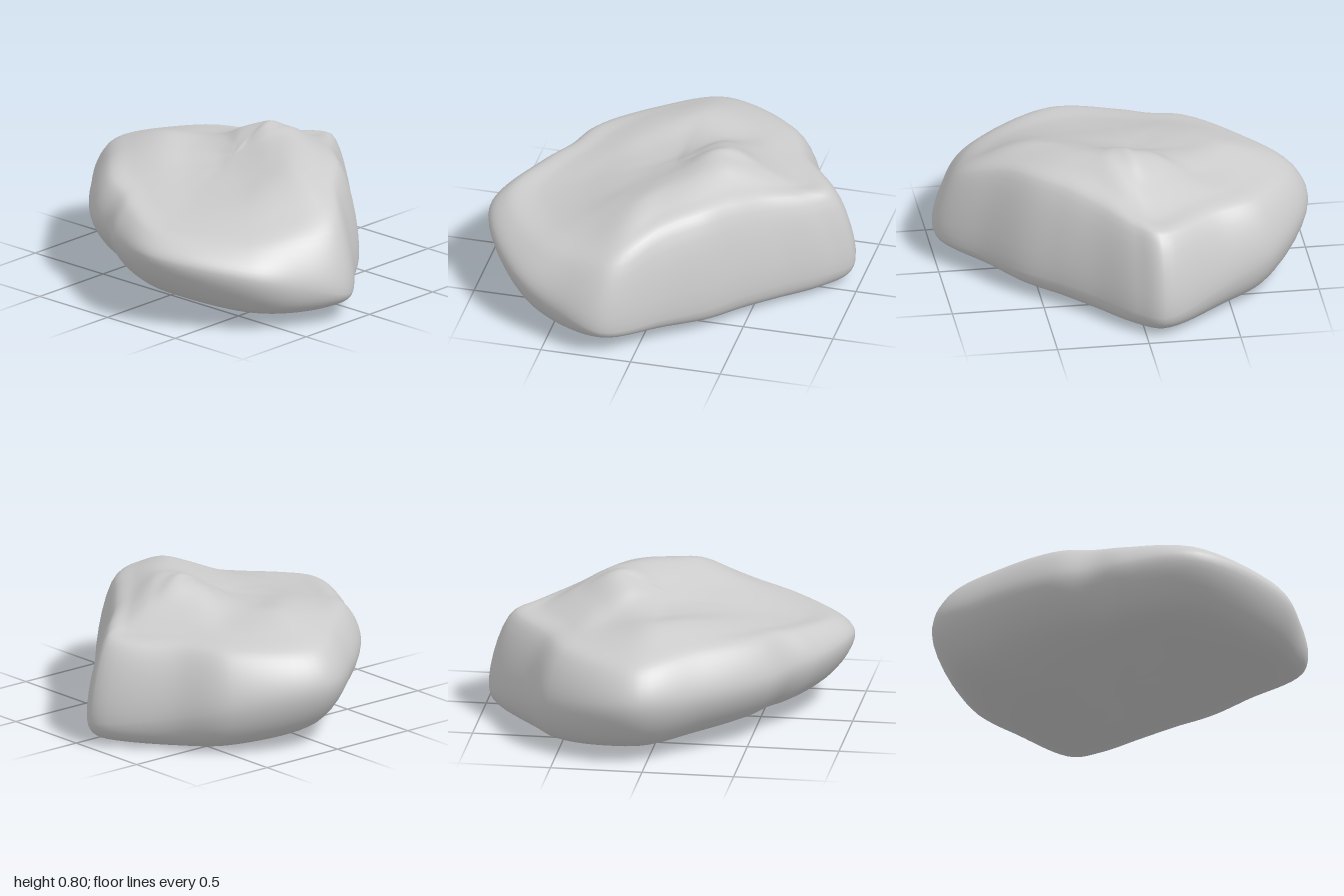
import * as THREE from 'three';
import { mergeVertices } from 'three/addons/utils/BufferGeometryUtils.js';

// Radial cross-sections, clockwise from the back corner:
// widest x, z, its height | shoulder scale, height | base scale, height
const SECTIONS = [
  [-0.1, -0.97, 0.13, 0.87, 0.56, 0.94, 0.04],
  [0.05, -0.88, 0.13, 0.85, 0.57, 0.94, 0.04],
  [0.25, -0.655, 0.14, 0.85, 0.61, 0.94, 0.04],
  [0.43, -0.49, 0.15, 0.85, 0.65, 0.93, 0.05],
  [0.61, -0.335, 0.15, 0.85, 0.66, 0.93, 0.06],
  [0.78, -0.12, 0.15, 0.85, 0.63, 0.94, 0.08],
  [1.0, 0.17, 0.16, 0.89, 0.5, 0.95, 0.1],
  [0.93, 0.45, 0.25, 0.89, 0.47, 0.93, 0.09],
  [0.78, 0.71, 0.32, 0.89, 0.46, 0.88, 0.1],
  [0.29, 0.97, 0.4, 0.9, 0.5, 0.85, 0.17],
  [-0.1, 0.84, 0.38, 0.88, 0.53, 0.84, 0.16],
  [-0.27, 0.72, 0.37, 0.88, 0.55, 0.84, 0.16],
  [-0.47, 0.62, 0.37, 0.88, 0.57, 0.84, 0.16],
  [-0.77, 0.31, 0.36, 0.88, 0.57, 0.85, 0.15],
  [-1.0, -0.06, 0.35, 0.92, 0.53, 0.86, 0.12],
  [-0.77, -0.55, 0.28, 0.88, 0.55, 0.89, 0.06],
  [-0.48, -0.73, 0.2, 0.86, 0.55, 0.91, 0.03],
];

// Spot heights on the top face: x, z, height
const SPOTS = [
  // ridge
  [-0.14, -0.3, 0.765], [0, -0.3, 0.8], [0.25, -0.23, 0.775], [0.45, -0.08, 0.74],
  [0.63, 0.08, 0.695], [0.4, -0.3, 0.73], [0.25, 0, 0.72],
  // saddle towards the back corner
  [-0.1, -0.5, 0.665], [0.1, -0.52, 0.69], [-0.1, -0.65, 0.6], [-0.22, -0.45, 0.625],
  // valley
  [-0.29, -0.31, 0.65], [-0.32, -0.18, 0.645], [-0.12, 0.05, 0.645], [0.08, -0.03, 0.69],
  // side hump
  [-0.55, -0.1, 0.675], [-0.4, 0.08, 0.67], [-0.6, 0.15, 0.65], [-0.7, -0.35, 0.61],
  [-0.4, -0.5, 0.61], [-0.25, 0.35, 0.62],
  // front hollow
  [0, 0.3, 0.61], [0.25, 0.2, 0.645], [0.5, 0.3, 0.62], [0.3, 0.45, 0.565],
  [0.55, 0.5, 0.54], [0.4, 0.68, 0.49], [0.1, 0.65, 0.53], [0.2, 0.8, 0.51], [-0.05, 0.6, 0.55],
  ...SECTIONS.map(([x, z, , scale, height]) => [x * scale, z * scale, height]),
];

// Smooth blend of the spot heights: each pass refines what the wider ones left over
const PASSES = [];
function topHeight(x, z) {
  let height = 0;
  for (const { width, residuals } of PASSES) {
    let sum = 0, total = 0;
    SPOTS.forEach(([sx, sz], k) => {
      const weight = Math.exp(-((x - sx) ** 2 + (z - sz) ** 2) / width ** 2);
      sum += weight * residuals[k];
      total += weight;
    });
    height += sum / total;
  }
  return height;
}
for (const width of [0.4, 0.25, 0.18, 0.18]) {
  const residuals = SPOTS.map(([x, z, height]) => height - topHeight(x, z));
  PASSES.push({ width, residuals });
}

const TOP = new THREE.Vector3(0, topHeight(0, 0), 0);
const BASE = new THREE.Vector3(0, 0.035, 0);

// Control points of one section, from the top face over the rim to the underside
function sectionPoints([x, z, y, shoulder, shoulderY, base, baseY]) {
  const at = (scale, height) => new THREE.Vector3(x * scale, height, z * scale);
  const inner = [0.12, 0.34, 0.57, 0.8].map((f) => {
    const scale = f * shoulder;
    return at(scale, topHeight(x * scale, z * scale));
  });
  return [
    ...inner,
    at(shoulder, shoulderY),
    at(1, y),
    at(base, baseY),
    at(base * 0.5, BASE.y + 0.033 * (x + z)),
  ];
}

function stoneGeometry(around = 136, along = 60) {
  const sections = SECTIONS.map(sectionPoints);
  // Closed loops through matching points of every section
  const loops = sections[0].map((_, k) =>
    new THREE.CatmullRomCurve3(sections.map((s) => s[k]), true));

  const positions = [];
  const index = [];
  for (let i = 0; i < around; i++) {
    const ring = loops.map((loop) => loop.getPoint(i / around));
    const spoke = new THREE.CatmullRomCurve3([TOP, ...ring, BASE]);
    for (let j = 0; j <= along; j++) {
      const p = spoke.getPoint(j / along);
      positions.push(p.x, Math.max(p.y, 0), p.z);
      if (j === along) continue;
      const a = i * (along + 1) + j;
      const b = ((i + 1) % around) * (along + 1) + j;
      if (j > 0) index.push(a, b, a + 1);
      if (j < along - 1) index.push(b, b + 1, a + 1);
    }
  }
  const geometry = new THREE.BufferGeometry();
  geometry.setAttribute('position', new THREE.Float32BufferAttribute(positions, 3));
  geometry.setIndex(index);
  const welded = mergeVertices(geometry, 1e-5);
  welded.computeVertexNormals();
  return welded;
}

export function createModel() {
  const group = new THREE.Group();
  group.name = 'rock';
  const stone = new THREE.Mesh(
    stoneGeometry(),
    new THREE.MeshStandardMaterial({ color: 0xcccccc }),
  );
  stone.name = 'stone';
  group.add(stone);
  return group;
}
